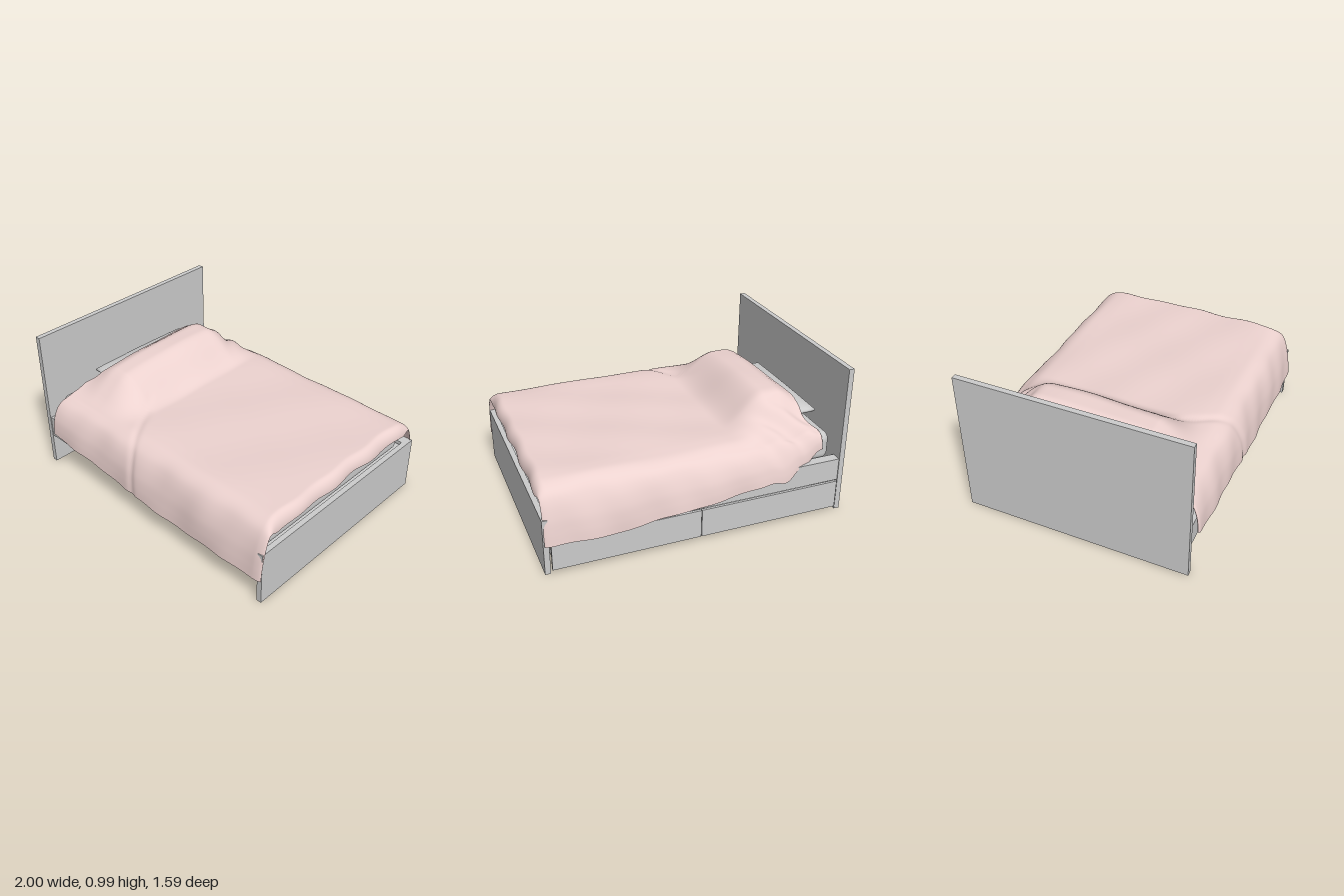
import * as THREE from 'three';
import { RoundedBoxGeometry } from 'three/addons/geometries/RoundedBoxGeometry.js';

const grey = new THREE.MeshStandardMaterial({ color: 0xcccccc });
const pink = new THREE.MeshStandardMaterial({ color: 0xecd2cf, side: THREE.DoubleSide });
const clamp01 = (t) => Math.min(1, Math.max(0, t));
const ss = (a, b, x) => { // smoothstep, works in both directions
  const t = clamp01((x - a) / (b - a));
  return t * t * (3 - 2 * t);
};
const mix = (a, b, t) => a + (b - a) * t;

function add(parent, name, geometry, material = grey) {
  const mesh = new THREE.Mesh(geometry, material);
  mesh.name = name;
  parent.add(mesh);
  return mesh;
}

// box given by its extents on each axis
function slab(parent, name, [x0, x1], [y0, y1], [z0, z1]) {
  const mesh = add(parent, name, new THREE.BoxGeometry(x1 - x0, y1 - y0, z1 - z0));
  mesh.position.set((x0 + x1) / 2, (y0 + y1) / 2, (z0 + z1) / 2);
}

// open drawer box with a taller front on the back side of the bed
function drawer(parent, x0, x1) {
  const g = new THREE.Group();
  g.name = 'drawer';
  const t = 0.012, zb = -0.34, zf = -0.74;
  slab(g, 'drawerBottom', [x0, x1], [0.04, 0.052], [zf, zb]);
  slab(g, 'drawerBack', [x0, x1], [0.04, 0.21], [zb - t, zb]);
  slab(g, 'drawerSide', [x0, x0 + t], [0.04, 0.21], [zf, zb]);
  slab(g, 'drawerSide', [x1 - t, x1], [0.04, 0.21], [zf, zb]);
  slab(g, 'drawerFront', [x0 - 0.023, x1 + 0.023], [0.03, 0.22], [-0.757, zf]);
  parent.add(g);
}

// ellipsoid spread to a rectangle, with thin corners
function pillowGeometry(w, h, d) {
  const geo = new THREE.SphereGeometry(1, 64, 32);
  const p = geo.attributes.position;
  for (let i = 0; i < p.count; i++) {
    const x = p.getX(i), z = p.getZ(i);
    const k = Math.hypot(x, z) / Math.max(Math.abs(x), Math.abs(z), 1e-6);
    const thin = 1 - 0.6 * (k - 1);
    p.setXYZ(i, x * k * w / 2, p.getY(i) * thin * h / 2, z * k * d / 2);
  }
  geo.computeVertexNormals();
  return geo;
}

// half cross-section of the draped cover: distance from the middle, height
const drape = new THREE.SplineCurve([
  [0, 0.56], [0.15, 0.56], [0.3, 0.56], [0.43, 0.56], [0.54, 0.558], [0.62, 0.548], [0.68, 0.512],
  [0.72, 0.45], [0.75, 0.36], [0.765, 0.27], [0.772, 0.19],
].map(([z, y]) => new THREE.Vector2(z, y)));

// head end of the cover as pairs of z, x
const headEdge = [[-0.78, -0.86], [-0.66, -0.86], [-0.5, -0.79], [-0.33, -0.785],
  [0.37, -0.74], [0.42, -0.78], [0.52, -0.84], [0.78, -0.895]];
function headX(z) {
  let i = 1;
  while (i < headEdge.length - 1 && z > headEdge[i][0]) i++;
  const [za, xa] = headEdge[i - 1], [zb, xb] = headEdge[i];
  return mix(xa, xb, ss(za, zb, z));
}

// point of the cover at length x and cross-section parameter s (-1 back hem, 1 front hem)
function coverPoint(x, s) {
  const base = drape.getPoint(Math.abs(s));
  const sign = s < 0 ? -1 : 1;
  let z = base.x, y = base.y;
  const side = ss(0.6, 0.73, z);
  const hem = (sign > 0
    ? mix(0.285, 0.188, clamp01((x + 0.9) / 1.05))
    : mix(mix(0.3, 0.2, ss(-0.6, 0.7, x)), 0.42, ss(-0.5, -0.9, x))) + 0.004 * Math.sin(x * 11 + sign);
  if (y < 0.53) y = 0.53 - (0.53 - y) * (0.53 - hem) / 0.34;
  // back corner at the head is pulled in over the mattress, with gathered folds
  if (sign < 0) {
    const pull = ss(-0.48, -0.92, x);
    if (z > 0.6) z = mix(z, 0.6 + (z - 0.6) * 0.4, pull);
    y += 0.014 * ss(-0.35, -0.55, x) * ss(0.4, 0.52, z) * Math.sin(x * 26 + z * 34);
  }
  z *= sign;
  // swelling over the pillow
  const lengthwise = ss(-0.26, -0.57, x) * (0.55 + 0.45 * ss(-0.84, -0.65, x));
  const edge = sign > 0 ? 0.63 : 0.66;
  const across = 0.55 * ss(edge, 0.36, Math.abs(z)) + 0.45 * clamp01((edge - Math.abs(z)) / 0.25);
  y += 0.2 * lengthwise * across * (1 - 0.16 * ss(-0.1, 0.42, z));
  // diagonal crease from the pillow to the front hem
  const d = (x + 0.42 - (z - 0.25) * 0.62) * 0.85;
  const crease = Math.exp(-d * d / 0.0005) * ss(0.25, 0.45, z) * 0.01;
  // gentle wrinkles
  const ripple = 0.003 * Math.sin(x * 9 + z * 5) + 0.003 * Math.sin(z * 13 - x * 6 + 1);
  y += (ripple - crease) * (1 - side);
  z += sign * side * (0.005 * Math.sin(x * 10 + y * 7) + 0.003 * Math.sin(x * 23 - y * 9) - crease);
  return { x, y, z, side, sign };
}

function coverGeometry() {
  const cols = 140, fold = 8, body = 130, foot = 10;
  const rows = fold + body + foot, r = 0.02;
  const pos = [], index = [];
  for (let i = 0; i <= rows; i++) {
    for (let j = 0; j <= cols; j++) {
      const s = (j / cols) * 2 - 1;
      const guess = drape.getPoint(Math.abs(s)).x * Math.sign(s);
      const x0 = headX(guess) + r, x1 = 0.922 + 0.006 * Math.sin(guess * 19);
      const t = clamp01((i - fold) / body);
      const p = coverPoint(mix(x0, x1, t), s);
      if (i < fold) { // rolled lip at the head
        const a = Math.PI * (1 - i / fold), drop = r * (1 - Math.cos(a));
        p.x -= r * Math.sin(a);
        p.y -= drop * (1 - p.side);
        p.z -= p.sign * drop * p.side * 0.5;
      } else if (i > fold + body) { // turned down over the foot end
        const a = (i - fold - body) / foot * Math.PI / 2;
        p.x += 0.058 * Math.sin(a);
        p.y -= (0.085 + 0.006 * Math.sin(p.z * 14)) * (1 - Math.cos(a)) * (1 - p.side);
        p.z -= p.sign * 0.015 * (1 - Math.cos(a)) * p.side;
      }
      pos.push(p.x, p.y, p.z);
      if (i < rows && j < cols) {
        const a = i * (cols + 1) + j, b = a + cols + 1;
        index.push(a, a + 1, b, a + 1, b + 1, b);
      }
    }
  }
  const geo = new THREE.BufferGeometry();
  geo.setAttribute('position', new THREE.Float32BufferAttribute(pos, 3));
  geo.setIndex(index);
  geo.computeVertexNormals();
  return geo;
}

export function createModel() {
  const model = new THREE.Group();
  model.name = 'bed';
  const bed = new THREE.Group();
  bed.name = 'bedParts';
  bed.rotation.y = 0.0195; // stands slightly askew
  bed.position.z = 0.006;
  model.add(bed);

  // frame
  slab(bed, 'headboard', [-0.985, -0.95], [0, 0.99], [-0.743, 0.743]);
  slab(bed, 'footboard', [0.946, 0.981], [0, 0.37], [-0.743, 0.743]);
  for (const m of [-1, 1]) {
    const span = (a, b) => [Math.min(a * m, b * m), Math.max(a * m, b * m)];
    slab(bed, 'sideRail', [-0.95, 0.946], [0.22, 0.37], span(0.71, 0.738));
    slab(bed, 'railLedge', [-0.95, 0.946], [0.345, 0.37], span(0.672, 0.71));
  }
  slab(bed, 'mattressBase', [-0.925, 0.946], [0.305, 0.325], [-0.71, 0.71]);

  // storage drawers
  drawer(bed, -0.915, -0.025);
  drawer(bed, 0.025, 0.915);

  // bedding
  const mattress = add(bed, 'mattress', new RoundedBoxGeometry(1.86, 0.2, 1.32, 5, 0.06));
  mattress.position.set(0, 0.425, 0);
  const pillow = add(bed, 'pillow', pillowGeometry(0.52, 0.15, 0.8));
  pillow.position.set(-0.66, 0.59, -0.055);
  add(bed, 'cover', coverGeometry(), pink);
  return model;
}
